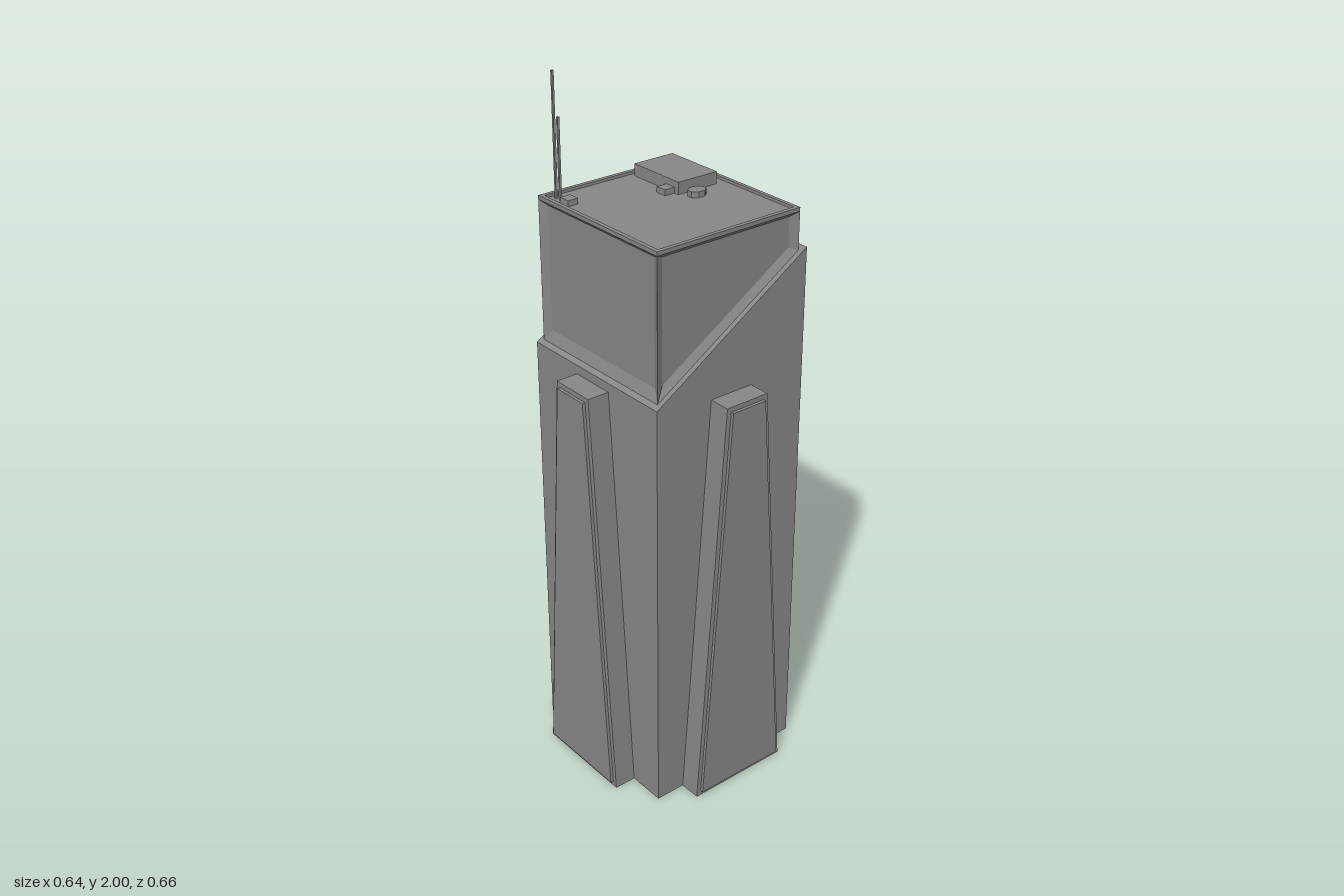
import * as THREE from 'three';

const grey = new THREE.MeshStandardMaterial({ color: 0x878787, flatShading: true });
// Height of the sloping shoulder at a given x
const shoulder = (x) => 1.252 + (x + 0.25) * 0.632;

export function createModel() {
  const group = new THREE.Group();

  const add = (name, geometry, x = 0, y = 0, z = 0, parent = group) => {
    const mesh = new THREE.Mesh(geometry, grey);
    mesh.name = name;
    mesh.position.set(x, y, z);
    parent.add(mesh);
    return mesh;
  };

  // Box given by its minimum and maximum corners
  const box = (name, x0, x1, y0, y1, z0, z1) =>
    add(name, new THREE.BoxGeometry(x1 - x0, y1 - y0, z1 - z0), (x0 + x1) / 2, (y0 + y1) / 2, (z0 + z1) / 2);

  const prism = (points, depth) =>
    new THREE.ExtrudeGeometry(new THREE.Shape(points.map(([x, y]) => new THREE.Vector2(x, y))), { depth, bevelEnabled: false });

  // Main shaft with a slanted top
  add('towerShaft', prism([[-0.249, 0], [0.245, 0], [0.245, shoulder(0.245)], [-0.249, shoulder(-0.249)]], 0.516), 0, 0, -0.258);

  // Tapered buttress with a thin raised panel, one on each side
  const buttress = (name, angle, offset, reach, height) => {
    const side = new THREE.Group();
    side.name = name;
    side.rotation.y = angle;
    group.add(side);
    add('buttressBody', prism([[-0.156, 0], [0.156, 0], [0.068, height], [-0.068, height]], reach - 0.2), offset, 0, 0.2, side);
    add('buttressPanel', prism([[-0.142, 0.015], [0.142, 0.015], [0.055, height - 0.014], [-0.055, height - 0.014]], 0.02), offset, 0, reach - 0.011, side);
  };
  buttress('frontButtress', 0, -0.003, 0.321, 1.227);
  buttress('backButtress', Math.PI, 0.003, 0.323, 1.227);
  buttress('leftButtress', Math.PI / 2, 0.01, 0.312, 1.455);
  buttress('rightButtress', -Math.PI / 2, -0.01, 0.314, 1.227);

  // Crown walls: each face bevels inward to a recessed panel
  const ring = [[-0.235, 0.243], [0.23, 0.243], [0.23, -0.245], [-0.235, -0.245]];
  const top = 1.661, inset = 0.025, recess = 0.012;
  const positions = [];
  const quad = (a, b, c, d) => positions.push(...a, ...b, ...c, ...a, ...c, ...d);
  ring.forEach(([ax, az], i) => {
    const [bx, bz] = ring[(i + 1) % 4];
    const length = Math.hypot(bx - ax, bz - az);
    const dx = (bx - ax) / length, dz = (bz - az) / length;
    const shift = (x, z, s) => [x + dx * s + dz * recess, z + dz * s - dx * recess];
    const [px, pz] = shift(ax, az, inset);
    const [qx, qz] = shift(bx, bz, -inset);
    const outer = [[ax, shoulder(ax), az], [bx, shoulder(bx), bz], [bx, top, bz], [ax, top, az]];
    const inner = [[px, shoulder(px) + inset, pz], [qx, shoulder(qx) + inset, qz], [qx, top - 0.012, qz], [px, top - 0.012, pz]];
    for (let k = 0; k < 4; k++) quad(outer[k], outer[(k + 1) % 4], inner[(k + 1) % 4], inner[k]);
    quad(...inner);
  });
  const walls = new THREE.BufferGeometry();
  walls.setAttribute('position', new THREE.Float32BufferAttribute(positions, 3));
  walls.computeVertexNormals();
  add('crownWalls', walls);

  // Parapet around a slightly sunken roof
  const rim = new THREE.Shape(ring.map(([x, z]) => new THREE.Vector2(x, -z)));
  rim.holes.push(new THREE.Path([[-0.223, -0.231], [-0.223, 0.233], [0.219, 0.233], [0.219, -0.231]].map(([x, y]) => new THREE.Vector2(x, y))));
  const parapet = new THREE.ExtrudeGeometry(rim, { depth: 0.011, bevelEnabled: false });
  parapet.rotateX(-Math.PI / 2);
  add('parapet', parapet, 0, top, 0);
  box('roof', -0.224, 0.22, 1.653, 1.664, -0.234, 0.232);

  // Rooftop equipment
  box('plantRoom', 0.06, 0.19, 1.662, 1.698, -0.219, -0.035);
  box('plantAnnex', 0.028, 0.06, 1.662, 1.68, -0.085, -0.051);
  const vent = new THREE.CylinderGeometry(0.027, 0.027, 0.018, 8);
  vent.rotateY(Math.PI / 8);
  vent.scale(1, 1, 0.8);
  add('roofVent', vent, 0.097, 1.671, -0.005);
  box('mastCabinet', -0.212, -0.18, 1.662, 1.68, -0.18, -0.146);

  // Masts
  [['tallMast', 2, -0.215], ['shortMast', 1.885, -0.197]].forEach(([name, height, z]) =>
    box(name, -0.202, -0.196, 1.662, height, z - 0.003, z + 0.003));

  return group;
}
